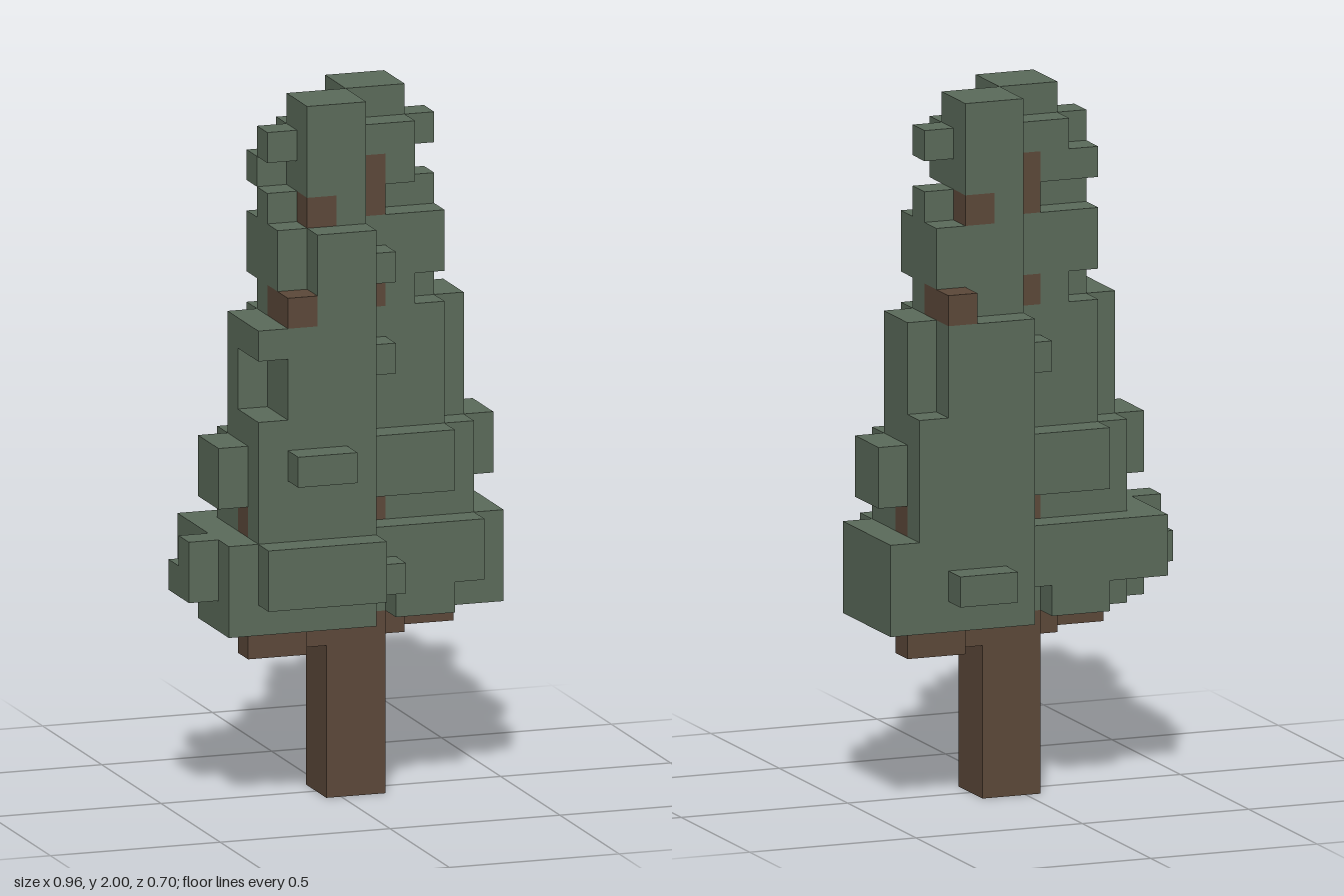
import * as THREE from 'three';
import { mergeGeometries } from 'three/addons/utils/BufferGeometryUtils.js';

const U = 2 / 23;                 // cube size: 11 x 23 x 8 cubes
const cells = new Map();
const key = (c, k, r) => `${c},${k},${r}`;

// Fill columns c0..c1, layers k0..k1, rows r0..r1 with one part
function fill(part, c0, c1, k0, k1, r0, r1) {
  for (let c = c0; c <= c1; c++)
    for (let k = k0; k <= k1; k++)
      for (let r = r0; r <= r1; r++) cells.set(key(c, k, r), { part, c, k, r });
}

// Same, plus its twin turned half a circle about the trunk
function pair(part, c0, c1, k0, k1, r0, r1) {
  fill(part, c0, c1, k0, k1, r0, r1);
  fill(part, 11 - c1, 11 - c0, k0, k1, 7 - r1, 7 - r0);
}

function plant() {
  cells.clear();
  const L = 'foliage', B = 'branches';
  // trunk and lowest branches
  fill('trunk', 5, 6, 0, 5, 3, 4);
  pair(B, 2, 3, 5, 5, 5, 5);
  pair(B, 4, 4, 5, 5, 4, 4);

  // widest skirt
  pair(L, 1, 5, 6, 8, 4, 6);
  pair(L, 6, 9, 6, 8, 4, 4);
  pair(L, 6, 9, 7, 8, 5, 5);
  pair(L, 7, 8, 6, 6, 5, 5);
  fill(L, 10, 10, 6, 8, 4, 4);
  fill(L, 1, 1, 7, 8, 2, 3);
  fill(L, 2, 5, 7, 8, 7, 7);
  fill(L, 0, 0, 7, 8, 5, 5);
  fill(L, 0, 0, 7, 7, 4, 4);
  fill(L, 6, 6, 7, 7, 6, 6);
  fill(L, 7, 8, 7, 7, 0, 0);

  // second skirt
  pair(L, 2, 5, 9, 11, 4, 6);
  pair(L, 6, 9, 9, 11, 4, 4);
  pair(L, 6, 8, 10, 11, 5, 5);
  pair(L, 1, 1, 10, 11, 4, 5);
  fill(L, 3, 4, 11, 11, 7, 7);

  // middle
  pair(L, 3, 5, 12, 15, 4, 6);
  pair(L, 2, 2, 12, 12, 4, 6);
  pair(L, 6, 8, 12, 15, 4, 4);
  pair(L, 6, 6, 14, 14, 5, 5);
  fill(L, 9, 9, 12, 15, 2, 3);
  fill(L, 2, 2, 13, 15, 4, 4);
  fill(L, 2, 2, 15, 15, 5, 6);

  // upper part
  pair(L, 3, 5, 16, 18, 4, 5);
  pair(L, 6, 7, 16, 18, 4, 4);
  pair(L, 8, 8, 17, 18, 4, 4);
  fill(L, 4, 5, 16, 18, 6, 6);
  fill(L, 6, 6, 17, 17, 5, 5);

  // twin tips
  pair(L, 4, 5, 19, 22, 4, 5);
  pair(L, 3, 3, 19, 19, 4, 4);
  pair(L, 3, 3, 21, 21, 4, 4);
  pair(L, 6, 7, 21, 21, 4, 4);
  pair(L, 7, 7, 20, 20, 4, 4);
  fill(L, 3, 3, 20, 20, 3, 3);

  // bare wood showing through the foliage
  pair(B, 6, 6, 19, 20, 4, 4);
  pair(B, 4, 4, 19, 19, 5, 5);
  pair(B, 6, 6, 16, 16, 4, 4);
  pair(B, 3, 3, 16, 16, 5, 6);
  pair(B, 6, 6, 9, 9, 4, 4);
  pair(B, 2, 2, 9, 9, 5, 5);
}

// The six face directions and the turn that points a plane along each
const SIDES = [
  [1, 0, 0, 0, Math.PI / 2], [-1, 0, 0, 0, -Math.PI / 2],
  [0, 1, 0, -Math.PI / 2, 0], [0, -1, 0, Math.PI / 2, 0],
  [0, 0, 1, 0, 0], [0, 0, -1, 0, Math.PI],
];

// Only the faces with no neighbouring cube
function skin(part) {
  const faces = [];
  for (const { part: p, c, k, r } of cells.values()) {
    if (p !== part) continue;
    for (const [dx, dy, dz, rx, ry] of SIDES) {
      if (cells.has(key(c + dx, k + dy, r + dz))) continue;
      const face = new THREE.PlaneGeometry(U, U);
      face.rotateX(rx).rotateY(ry);
      face.translate((c - 5 + dx / 2) * U, (k + 0.5 + dy / 2) * U, (r - 3.5 + dz / 2) * U);
      faces.push(face);
    }
  }
  return mergeGeometries(faces);
}

export function createModel() {
  const leafGreen = new THREE.MeshStandardMaterial({ color: 0x5b6b5a });
  leafGreen.name = 'leafGreen';
  const barkBrown = new THREE.MeshStandardMaterial({ color: 0x5c4839 });
  barkBrown.name = 'barkBrown';

  plant();
  const tree = new THREE.Group();
  tree.name = 'tree';
  for (const [part, material] of [['trunk', barkBrown], ['branches', barkBrown], ['foliage', leafGreen]]) {
    const mesh = new THREE.Mesh(skin(part), material);
    mesh.name = part;
    tree.add(mesh);
  }
  return tree;
}
